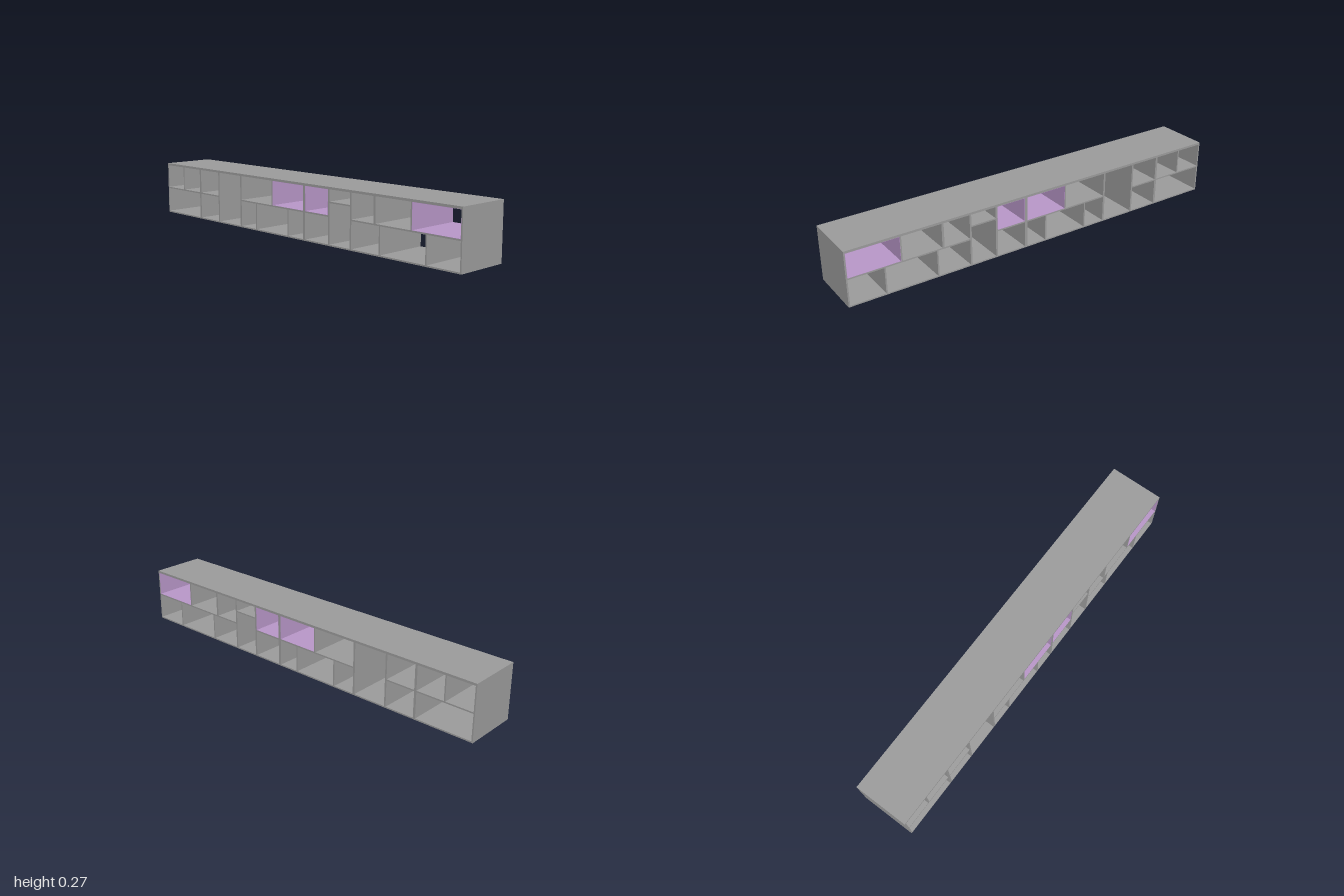
import * as THREE from 'three';

const H = 0.271, D = 0.273, T = 0.007, TOP = 0.011, MID = 0.137;

export function createModel() {
  const model = new THREE.Group();
  model.name = 'lowOpenShelf';
  const grey = new THREE.MeshStandardMaterial({ color: 0x9d9d9d });
  const purple = new THREE.MeshStandardMaterial({ color: 0xba98ca });

  // A panel running the full depth, given by its x and y limits
  function panel(name, x0, x1, y0, y1, material = grey, parent = model) {
    const mesh = new THREE.Mesh(new THREE.BoxGeometry(x1 - x0, y1 - y0, D), material);
    mesh.position.set((x0 + x1) / 2, (y0 + y1) / 2, 0);
    mesh.name = name;
    parent.add(mesh);
  }

  // Outer case
  panel('base', -1, 1, 0, T);
  panel('top', -1, 1, H - TOP, H);
  panel('rightSide', -1, -1 + T, T, H - TOP);
  panel('leftSide', 1 - T, 1, T, H - TOP);

  // Full-height dividers: [x, thickness]
  const walls = [[-0.704, 0.012], [-0.546, 0.009], [-0.367, 0.01],
    [0.096, 0.014], [0.258, 0.01], [0.395, 0.009]];
  for (const [x, t] of walls) panel('fullDivider', x - t / 2, x + t / 2, T, H - TOP);

  // Shelves between the full-height dividers, listed by height
  const edges = [[-1 + T / 2, T], ...walls, [1 - T / 2, T]];
  const heights = [MID, MID, null, MID, MID, 0.201, MID];
  heights.forEach((y, i) => {
    if (y === null) return;
    const [a, ta] = edges[i], [b, tb] = edges[i + 1];
    panel('shelf', a + ta / 2, b - tb / 2, y - T / 2, y + T / 2);
  });

  // Short dividers above and below the middle shelf
  for (const [x, t] of [[-0.852, T], [-0.13, T], [0.536, 0.011], [0.74, T]])
    panel('upperDivider', x - t / 2, x + t / 2, MID + T / 2, H - TOP);
  for (const x of [-0.248, -0.017, 0.566, 0.821])
    panel('lowerDivider', x - T / 2, x + T / 2, T, MID - T / 2);

  // Coloured linings of three upper compartments
  const L = 0.001, y0 = MID + T / 2, y1 = H - TOP;
  for (const [x0, x1] of [[-0.1265, 0.089], [0.103, 0.253], [0.7435, 0.993]]) {
    const lining = new THREE.Group();
    lining.name = 'colouredLining';
    panel('liningFloor', x0, x1, y0, y0 + L, purple, lining);
    panel('liningCeiling', x0, x1, y1 - L, y1, purple, lining);
    panel('liningRight', x0, x0 + L, y0 + L, y1 - L, purple, lining);
    panel('liningLeft', x1 - L, x1, y0 + L, y1 - L, purple, lining);
    model.add(lining);
  }
  return model;
}
